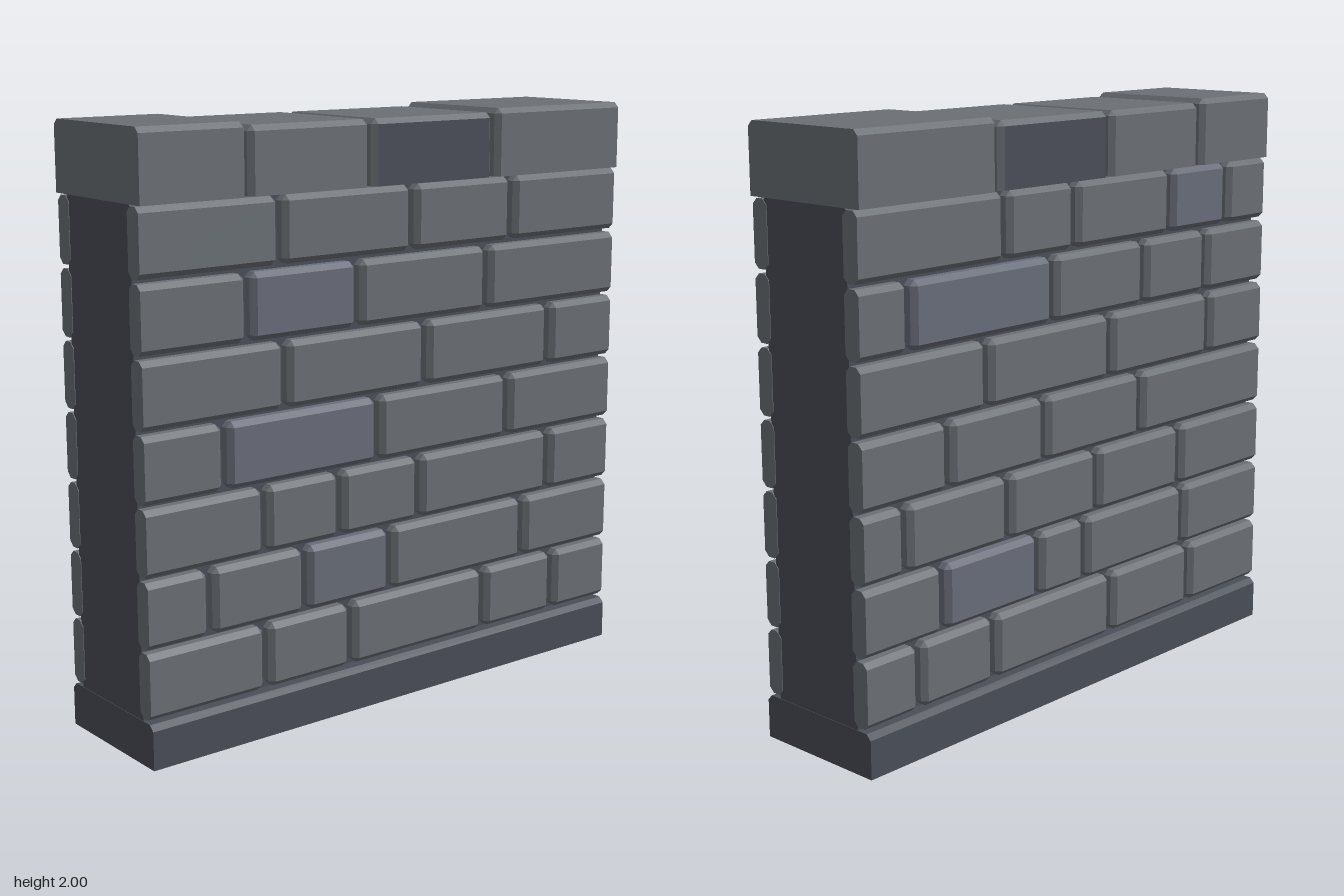
import * as THREE from 'three';
import { ConvexGeometry } from 'three/addons/geometries/ConvexGeometry.js';

const material = (name, color) => {
  const m = new THREE.MeshStandardMaterial({ color });
  m.name = name;
  return m;
};

// Chamfered block; edges at the wall ends (x = +-1) stay square, and flatBottom keeps the underside square
function blockGeometry(x0, x1, y0, y1, z0, z1, bevel, flatBottom = false) {
  const points = [];
  for (const [x, sx] of [[x0, 1], [x1, -1]])
    for (const [y, sy] of [[y0, 1], [y1, -1]])
      for (const [z, sz] of [[z0, 1], [z1, -1]]) {
        const xi = Math.abs(x) > 0.99 ? x : x + sx * bevel;
        const yi = flatBottom && sy > 0 ? y : y + sy * bevel;
        const zi = z + sz * bevel;
        points.push(
          new THREE.Vector3(x, yi, zi),
          new THREE.Vector3(xi, y, zi),
          new THREE.Vector3(xi, yi, z)
        );
      }
  return new ConvexGeometry(points);
}

// Give triangles facing front or back the second material
function groupFacesByZ(geometry) {
  const n = geometry.attributes.normal;
  for (let i = 0; i < n.count; i += 3)
    geometry.addGroup(i, 3, Math.abs(n.getZ(i)) > 0.9 ? 1 : 0);
  return geometry;
}

// Joint positions per course from the bottom up, and the index of the tinted brick
const FRONT = [
  { joints: [-0.55, -0.2, 0.4, 0.74] },
  { joints: [-0.765, -0.39, -0.03, 0.585], tinted: 2 },
  { joints: [-0.55, -0.245, 0.095, 0.705] },
  { joints: [-0.7, -0.085, 0.5], tinted: 1 },
  { joints: [-0.465, 0.12, 0.695] },
  { joints: [-0.605, -0.17, 0.395], tinted: 1 },
  { joints: [-0.48, 0.06, 0.505] },
];
const BACK = [
  { joints: [-0.6, -0.16, 0.43, 0.77] },
  { joints: [-0.56, -0.02, 0.215, 0.66], tinted: 3 },
  { joints: [-0.535, -0.08, 0.36, 0.82] },
  { joints: [-0.31, 0.185, 0.63] },
  { joints: [-0.69, -0.145, 0.455] },
  { joints: [-0.665, -0.32, 0.145, 0.79], tinted: 3 },
  { joints: [-0.78, -0.46, 0.04, 0.37], tinted: 1 },
];

export function createModel() {
  const stone = material('stone grey', 0x6b7075);
  const tint = material('blue grey stone', 0x696d79);
  const dark = material('dark mortar', 0x4a4e58);

  const wall = new THREE.Group();
  wall.name = 'brickWall';
  const add = (parent, name, geometry, mat) => {
    const mesh = new THREE.Mesh(geometry, mat);
    mesh.name = name;
    parent.add(mesh);
  };

  // Plinth and mortar core
  add(wall, 'plinth', blockGeometry(-1, 1, 0, 0.148, -0.245, 0.245, 0.018, true), dark);
  add(wall, 'mortarCore', blockGeometry(-0.998, 0.998, 0.05, 1.785, -0.185, 0.185, 0.02), dark);

  // Brick courses on both faces
  const gap = 0.012;
  for (const [name, courses, z0, z1] of [
    ['frontBricks', FRONT, 0.172, 0.235],
    ['backBricks', BACK, -0.235, -0.172],
  ]) {
    const face = new THREE.Group();
    face.name = name;
    courses.forEach(({ joints, tinted }, row) => {
      const y = 0.16 + row * 0.2315;
      const edges = [-1, ...joints, 1];
      for (let i = 0; i < edges.length - 1; i++) {
        const x0 = i ? edges[i] + gap : -1;
        const x1 = i < joints.length ? edges[i + 1] - gap : 1;
        add(face, 'brick', blockGeometry(x0, x1, y, y + 0.217, z0, z1, 0.018), i === tinted ? tint : stone);
      }
    });
    wall.add(face);
  }

  // Coping stones, the third with dark front and back faces
  const coping = new THREE.Group();
  coping.name = 'coping';
  [
    [-1, -0.613, 2, 0.245],
    [-0.6, -0.13, 1.987, 0.24],
    [-0.115, 0.403, 1.987, 0.24],
    [0.418, 1, 2, 0.245],
  ].forEach(([x0, x1, top, z], i) => {
    const geometry = blockGeometry(x0, x1, 1.77, top, -z, z, 0.018, true);
    if (i === 2) add(coping, 'darkCopingStone', groupFacesByZ(geometry), [stone, dark]);
    else add(coping, 'copingStone', geometry, stone);
  });
  wall.add(coping);
  return wall;
}
